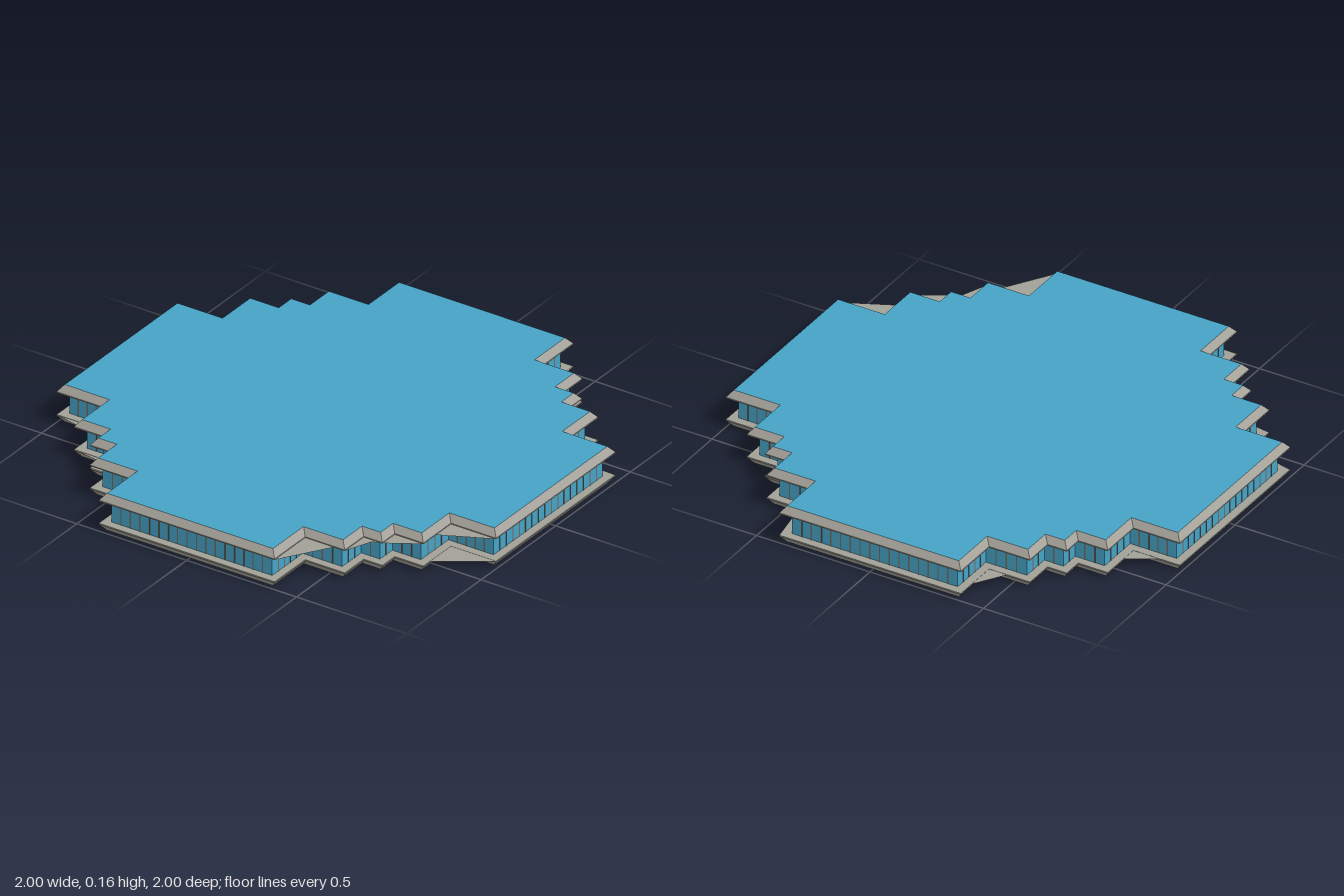
import * as THREE from 'three';
import { mergeGeometries } from 'three/addons/utils/BufferGeometryUtils.js';

const GLASS_INSET = 0.035, LOW = 0.034, HIGH = 0.128, TOP = 0.16;

// Stepped corner of the plan, from the +z wing round to the +x wing
const STEPS = [[0.4, 1], [0.4, 0.795], [0.58, 0.795], [0.58, 0.668], [0.665, 0.668],
  [0.665, 0.585], [0.795, 0.585], [0.795, 0.4], [1, 0.4]];

// Closed stepped-cross outline as [x, z], pulled in by d
function outline(d) {
  const q = STEPS.map(([x, z]) => [x - d, z - d]);
  const flip = (sx, sz) => q.map(([x, z]) => [x * sx, z * sz]);
  return [...q, ...flip(1, -1).reverse(), ...flip(-1, -1), ...flip(-1, 1).reverse()];
}

// Faceted skin through a profile of [inset, height], listed from bottom to top
function skin(profile) {
  const pos = [];
  for (let k = 0; k + 1 < profile.length; k++) {
    const [d0, y0] = profile[k], [d1, y1] = profile[k + 1];
    const a = outline(d0), b = outline(d1);
    for (let i = 0; i < a.length; i++) {
      const j = (i + 1) % a.length;
      const A = [a[i][0], y0, a[i][1]], B = [a[j][0], y0, a[j][1]];
      const C = [b[j][0], y1, b[j][1]], D = [b[i][0], y1, b[i][1]];
      pos.push(...A, ...B, ...C, ...A, ...C, ...D);
    }
  }
  const g = new THREE.BufferGeometry();
  g.setAttribute('position', new THREE.Float32BufferAttribute(pos, 3));
  g.computeVertexNormals();
  return g;
}

// Flat horizontal face over a list of [x, z] corners
function plate(points, y, faceUp = true) {
  const s = faceUp ? -1 : 1;
  const g = new THREE.ShapeGeometry(new THREE.Shape(points.map(([x, z]) => new THREE.Vector2(x, s * z))));
  g.rotateX(s * Math.PI / 2);
  return g.translate(0, y, 0);
}

export function createModel() {
  const blue = new THREE.MeshStandardMaterial({ color: 0x46a3c6 });
  blue.name = 'blue glass';
  const stone = new THREE.MeshStandardMaterial({ color: 0xa3a198, side: THREE.DoubleSide });
  stone.name = 'grey stone';
  const brown = new THREE.MeshStandardMaterial({ color: 0x75675a });
  brown.name = 'brown frame';

  const model = new THREE.Group();
  model.name = 'steppedStorey';
  const add = (name, geometry, material) => {
    const mesh = new THREE.Mesh(geometry, material);
    mesh.name = name;
    model.add(mesh);
  };

  // Slab, sloping ledges and roof
  add('floorUnderside', plate(outline(0.022), 0, false), stone);
  add('lowerLedge', skin([[0.022, 0], [0, LOW - 0.005], [0, LOW], [GLASS_INSET, LOW]]), stone);
  add('glassWall', skin([[GLASS_INSET, LOW], [GLASS_INSET, HIGH]]), blue);
  add('upperLedge', skin([[GLASS_INSET, HIGH], [0, HIGH], [0, HIGH + 0.005], [0.022, TOP]]), stone);
  add('roof', plate(outline(0.022), TOP), blue);

  // Thin window bars spaced along every wall
  const bars = [];
  const wall = outline(GLASS_INSET);
  wall.forEach(([x0, z0], i) => {
    const [x1, z1] = wall[(i + 1) % wall.length];
    const length = Math.hypot(x1 - x0, z1 - z0);
    const count = Math.max(2, Math.round(length / 0.042));
    for (let k = 1; k < count; k++) {
      const t = k / count;
      const bar = new THREE.BoxGeometry(0.005, HIGH - LOW, 0.003);
      bar.rotateY(Math.atan2(z0 - z1, x1 - x0));
      bars.push(bar.translate(x0 + (x1 - x0) * t, (LOW + HIGH) / 2, z0 + (z1 - z0) * t));
    }
  });
  add('windowBars', mergeGeometries(bars), brown);

  // Small flat ledge gussets in the corners of the steps
  const lower = [
    [[-0.48, -0.795], [-0.4, -0.92], [-0.4, -0.795]],
    [[0.4, -1], [0.435, -0.795], [0.4, -0.795]],
    [[-0.91, -0.4], [-0.795, -0.47], [-0.795, -0.4]],
    [[-1, 0.4], [-0.795, 0.445], [-0.795, 0.4]],
    [[-0.795, 0.585], [-0.665, 0.605], [-0.665, 0.585]],
    [[1, 0.4], [0.795, 0.54], [0.795, 0.4]],
  ];
  const upper = [
    [[0.4, 1], [0.53, 0.795], [0.4, 0.795]],
    [[1, 0.4], [0.795, 0.5], [0.795, 0.4]],
    [[0.58, 0.795], [0.625, 0.68], [0.665, 0.668], [0.58, 0.668]],
    [[0.665, 0.665], [0.795, 0.585], [0.665, 0.585]],
  ];
  add('lowerGussets', mergeGeometries(lower.map((p) => plate(p, LOW - 0.001))), stone);
  add('upperGussets', mergeGeometries(upper.map((p) => plate(p, HIGH + 0.001))), stone);
  return model;
}
